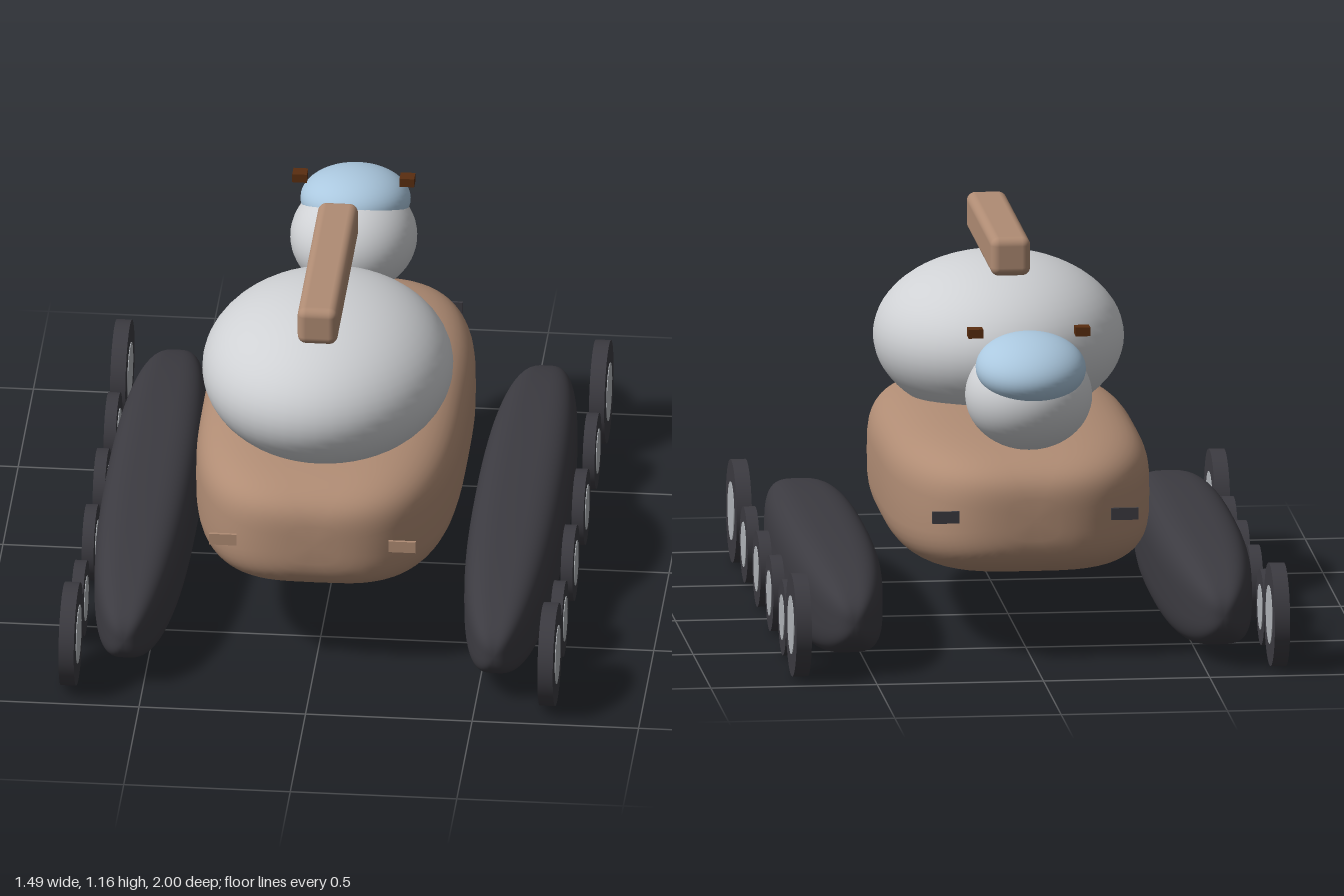
import * as THREE from 'three';
import { mergeVertices } from 'three/addons/utils/BufferGeometryUtils.js';
import { RoundedBoxGeometry } from 'three/addons/geometries/RoundedBoxGeometry.js';

const mat = (name, color) => new THREE.MeshStandardMaterial({ name, color });

// Soft pillow shape along z: squarish cross-section (power n) whose width and
// height shrink towards the ends by superellipse rules (powers pw and ph).
function pillow(rx, ry, rz, n, pw, ph) {
  const geo = new THREE.SphereGeometry(1, 56, 40).rotateX(Math.PI / 2);
  const pos = geo.attributes.position;
  const pow = (v, e) => Math.sign(v) * Math.abs(v) ** e;
  const taper = (s, p) => Math.max(0, 1 - Math.abs(s) ** p) ** (1 / p);
  for (let i = 0; i < pos.count; i++) {
    const x = pos.getX(i), y = pos.getY(i), z = pos.getZ(i);
    const r = Math.hypot(x, y);
    const s = THREE.MathUtils.clamp(pow(z, 2 / pw), -1, 1);
    const c = r < 1e-5 ? 0 : pow(x / r, 2 / n);
    const d = r < 1e-5 ? 0 : pow(y / r, 2 / n);
    pos.setXYZ(i, rx * c * taper(s, pw), ry * d * taper(s, ph), rz * s);
  }
  geo.deleteAttribute('uv');
  geo.deleteAttribute('normal');
  const merged = mergeVertices(geo, 1e-5);
  merged.computeVertexNormals();
  return merged;
}

export function createModel() {
  const model = new THREE.Group();
  model.name = 'trackedVehicle';

  const tan = mat('tan paint', 0xb08c74);
  const grey = mat('light grey', 0xcfd1d4);
  const dark = mat('dark rubber', 0x3c3b41);
  const steel = mat('hub steel', 0xb0b4b8);
  const blue = mat('pale blue glass', 0xabc8df);
  const brown = mat('dark brown', 0x5a2e10);

  const add = (name, geo, material, x, y, z, parent = model) => {
    const mesh = new THREE.Mesh(geo, material);
    mesh.name = name;
    mesh.position.set(x, y, z);
    parent.add(mesh);
    return mesh;
  };
  const ellipsoid = (x, y, z) => new THREE.SphereGeometry(1, 48, 32).scale(x, y, z);

  // Hull, turret dome and the bar on top
  add('hull', pillow(0.4, 0.21, 0.755, 3.6, 3.1, 4), tan, 0, 0.44, 0);
  add('turret', ellipsoid(0.375, 0.25, 0.428), grey, 0, 0.8, 0.27);
  add('topBar', new RoundedBoxGeometry(0.12, 0.118, 0.715, 4, 0.026), tan, 0, 1.107, 0.268);

  // Cabin at the rear with its tilted glass cap
  add('cabin', ellipsoid(0.19, 0.163, 0.203), grey, 0, 0.79, -0.582);
  const canopy = add('canopy', ellipsoid(0.165, 0.098, 0.172), blue, 0, 0.885, -0.643);
  canopy.rotation.x = -0.18;

  // Wheel: tyre disc with a hub showing on both faces
  const wheel = (name, r, hubR, width, x, y, z) => {
    const group = new THREE.Group();
    group.name = name;
    group.position.set(x, y, z);
    const disc = (rad, w) => new THREE.CylinderGeometry(rad, rad, w, 40).rotateZ(Math.PI / 2);
    add('tyre', disc(r, width), dark, 0, 0, 0, group);
    add('hub', disc(hubR, width + 0.004), steel, 0, 0, 0, group);
    model.add(group);
  };

  const trackGeo = pillow(0.14, 0.16, 0.892, 3.4, 2.4, 2.7);
  const plateGeo = new THREE.BoxGeometry(0.082, 0.036, 0.009);
  const podGeo = new THREE.BoxGeometry(0.044, 0.027, 0.042);
  for (const [side, s] of [['left', 1], ['right', -1]]) {
    add(side + 'Track', trackGeo, dark, s * 0.555, 0.162, 0);
    for (const z of [-0.845, 0.845]) {
      wheel(side + 'EndWheel', 0.155, 0.088, 0.046, s * 0.719, 0.158, z);
    }
    for (const z of [-0.54, -0.18, 0.18, 0.54]) {
      wheel(side + 'RoadWheel', 0.114, 0.068, 0.036, s * 0.719, 0.118, z);
    }
    // Lamp plates and cabin lights
    add(side + 'FrontPlate', plateGeo, tan, s * 0.269, 0.46, 0.77);
    add(side + 'RearPlate', plateGeo, dark, s * 0.269, 0.46, -0.773);
    add(side + 'CabinLight', podGeo, brown, s * 0.161, 0.983, -0.585);
  }
  return model;
}
